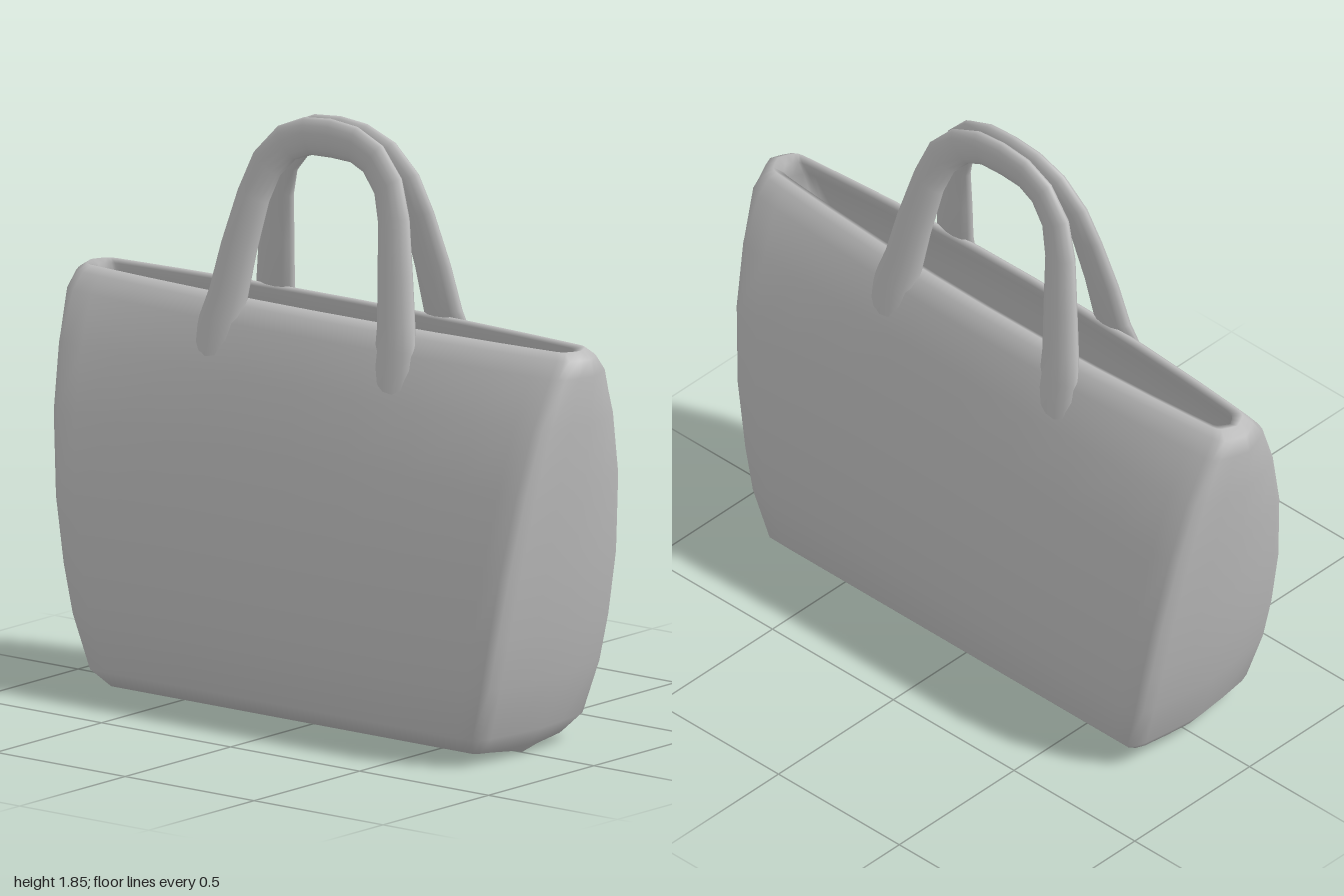
import * as THREE from 'three';

// Joins closed rings of points into one smooth skin.
function skin(rings) {
  const n = rings[0].length, pos = [], index = [];
  rings.forEach((ring) => ring.forEach((p) => pos.push(p[0], p[1], p[2])));
  for (let r = 0; r < rings.length - 1; r++) {
    for (let i = 0; i < n; i++) {
      const a = r * n + i, b = r * n + (i + 1) % n;
      index.push(a, b, b + n, a, b + n, a + n);
    }
  }
  const g = new THREE.BufferGeometry();
  g.setAttribute('position', new THREE.Float32BufferAttribute(pos, 3));
  g.setIndex(index);
  g.computeVertexNormals();
  return g;
}

// Six-sided bag outline with softened corners.
// y height, ex end point, cx front corner, z depth at middle, t narrowing towards the ends
function outline([y, ex, cx, z, t]) {
  const q = [0, 0.25, 0.5, 0.75, 0.92, 1].map((f) => [cx * f, z * (1 - t * f * f)]);
  const zc = z * (1 - t), d = ex - cx;
  q.push([cx + d * 0.33, zc * 0.93], [cx + d * 0.55, zc * 0.8], [cx + d * 0.8, zc * 0.42], [ex, 0]);
  const back = q.slice(0, -1).reverse().map(([x, zz]) => [x, -zz]);
  const half = [...q, ...back];
  const other = half.slice(1, -1).reverse().map(([x, zz]) => [-x, zz]);
  return [...half, ...other].map(([x, zz]) => [x, y, zz]);
}

// Flattened tube that arches over the bag, from one foot to the other.
function handleGeometry() {
  // x, y, z, half width, half depth
  const side = [
    [0.345, 1.08, 0.17, 0.08, 0.012], [0.34, 1.2, 0.136, 0.077, 0.026],
    [0.325, 1.28, 0.112, 0.071, 0.031], [0.303, 1.42, 0.09, 0.066, 0.029],
    [0.272, 1.58, 0.058, 0.059, 0.027], [0.235, 1.68, 0.04, 0.058, 0.025],
    [0.168, 1.752, 0.029, 0.058, 0.024], [0.09, 1.784, 0.024, 0.058, 0.023],
  ];
  const path = [...side, [0, 1.79, 0.023, 0.06, 0.022],
    ...side.slice().reverse().map(([x, ...rest]) => [-x, ...rest])];
  const rings = path.map(([x, y, z, w, d], i) => {
    const a = path[Math.max(i - 1, 0)], b = path[Math.min(i + 1, path.length - 1)];
    const len = Math.hypot(b[0] - a[0], b[1] - a[1]);
    const nx = (b[1] - a[1]) / len, ny = -(b[0] - a[0]) / len;
    return Array.from({ length: 14 }, (_, k) => {
      const u = -k / 14 * Math.PI * 2, c = Math.cos(u) * w;
      return [x + nx * c, y + ny * c, z + Math.sin(u) * d];
    });
  });
  return skin(rings);
}

export function createModel() {
  const model = new THREE.Group();
  model.name = 'handbag';
  const grey = new THREE.MeshStandardMaterial({ color: 0xbdbdbd });
  grey.name = 'grey';
  grey.side = THREE.DoubleSide;

  // Bag shell: up the outside, over the rim, down the lining to the floor
  const sections = [
    [0, 0.72, 0.66, 0, 0], [0.03, 0.75, 0.7, 0.21, 0], [0.085, 0.795, 0.74, 0.26, 0],
    [0.25, 0.845, 0.79, 0.28, 0], [0.4, 0.885, 0.82, 0.282, 0], [0.6, 0.925, 0.855, 0.273, 0],
    [0.85, 0.965, 0.89, 0.236, 0], [1.05, 0.988, 0.91, 0.193, 0.06], [1.2, 1, 0.925, 0.155, 0.25],
    [1.25, 0.985, 0.92, 0.125, 0.38], [1.272, 0.95, 0.9, 0.1, 0.42], [1.262, 0.92, 0.87, 0.08, 0.5],
    [1.2, 0.93, 0.87, 0.115, 0.35], [1.05, 0.95, 0.88, 0.165, 0.1], [0.6, 0.89, 0.83, 0.25, 0],
    [0.25, 0.81, 0.76, 0.255, 0], [0.07, 0.74, 0.7, 0.22, 0], [0.05, 0.7, 0.65, 0, 0],
  ];
  const bag = new THREE.Mesh(skin(sections.map(outline)), grey);
  bag.name = 'bagBody';
  model.add(bag);

  // Pair of handles leaning together at the top
  const geometry = handleGeometry();
  ['frontHandle', 'backHandle'].forEach((name, i) => {
    const handle = new THREE.Mesh(geometry, grey);
    handle.name = name;
    handle.rotation.y = i * Math.PI;
    model.add(handle);
  });
  return model;
}
